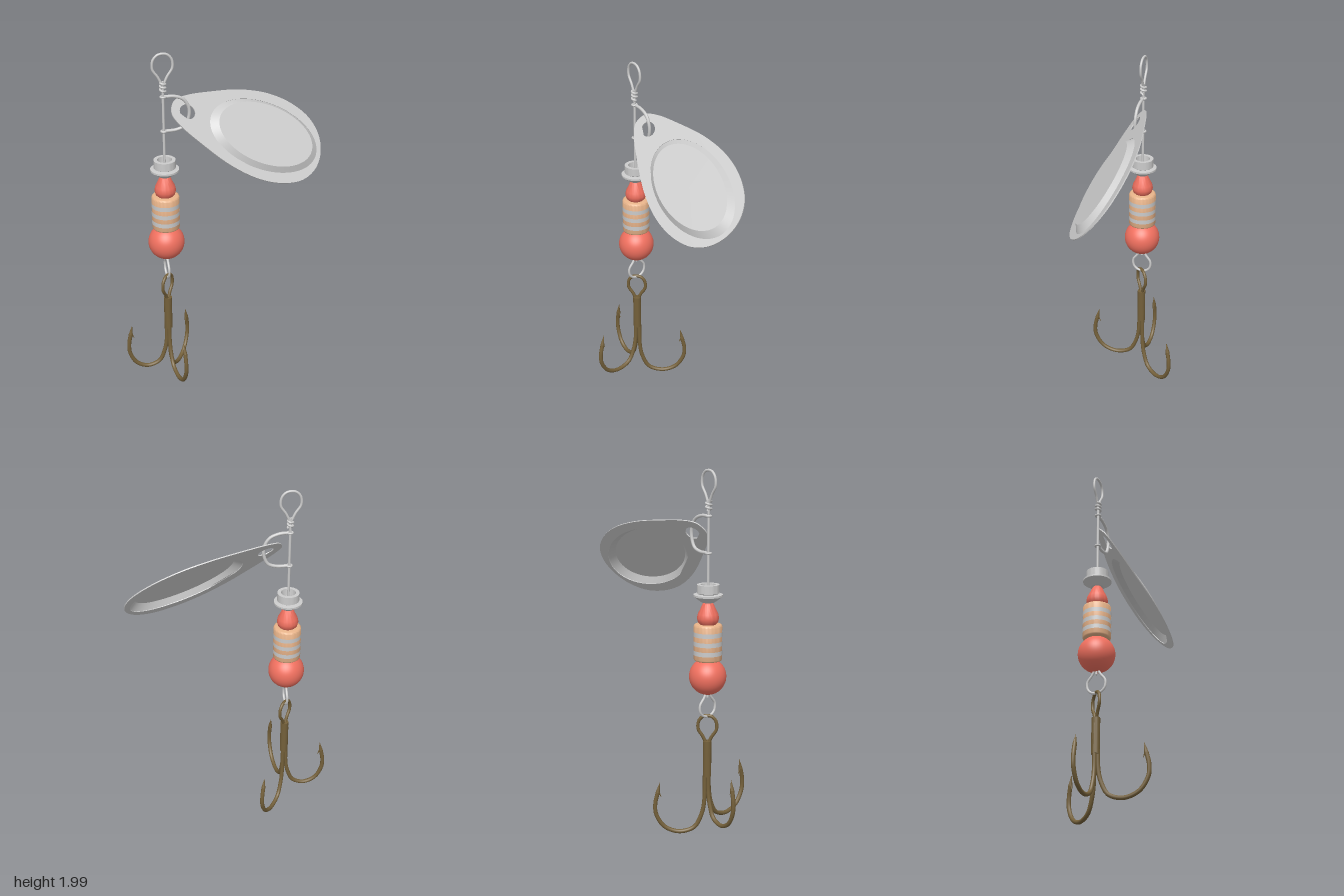
import * as THREE from 'three';
import { toCreasedNormals } from 'three/addons/utils/BufferGeometryUtils.js';

const material = (color) => new THREE.MeshStandardMaterial({ color, side: THREE.DoubleSide });
const V = (x, y, z = 0) => new THREE.Vector3(x, y, z);
const P = (x, y) => new THREE.Vector2(x, y);

export function createModel() {
  const model = new THREE.Group();
  const metal = material(0xcccccc), red = material(0xf0705f);
  const tan = material(0xe8b48a), bronze = material(0x74603a);

  // everything but the blade is laid out around the wire axis
  const rig = new THREE.Group();
  rig.name = 'rig';
  rig.position.set(-0.33, 0, -0.03);
  model.add(rig);

  function add(parent, name, geometry, mat) {
    const mesh = new THREE.Mesh(geometry, mat);
    mesh.name = name;
    parent.add(mesh);
    return mesh;
  }
  function lathe(name, profile, mat, crease = 0.5) {
    const geometry = new THREE.LatheGeometry(profile.map(([r, y]) => P(r, y)), 48);
    return add(rig, name, toCreasedNormals(geometry, crease), mat);
  }
  function wire(parent, name, points, radius, mat, segments = 64, closed = false) {
    const curve = new THREE.CatmullRomCurve3(points, closed, 'centripetal');
    add(parent, name, new THREE.TubeGeometry(curve, segments, radius, 10, closed), mat);
    return curve;
  }
  // teardrop in the local XY plane: closed end at neckY, round end at endY
  function teardrop(neckY, endY, half) {
    const h = endY - neckY;
    return [[0.1, 0], [0.45, 0.25], [0.95, 0.52], [0.9, 0.8], [0.5, 0.96], [0, 1],
      [-0.5, 0.96], [-0.9, 0.8], [-0.95, 0.52], [-0.45, 0.25], [-0.1, 0]]
      .map(([x, y]) => V(x * half, neckY + y * h));
  }

  // central wire, top eye and twisted wrap
  const shaft = add(rig, 'shaft', new THREE.CylinderGeometry(0.007, 0.007, 1.06, 12), metal);
  shaft.position.y = 1.31;
  wire(rig, 'topEye', teardrop(1.825, 1.992, 0.056), 0.007, metal);
  const wrap = [];
  for (let i = 0; i <= 36; i++) {
    const a = i / 36 * Math.PI * 5;
    wrap.push(V(Math.cos(a) * 0.014, 1.785 + 0.05 * i / 36, Math.sin(a) * 0.014));
  }
  wire(rig, 'wireWrap', wrap, 0.006, metal, 120);

  // bottom eye lies in the YZ plane
  const bottomEye = new THREE.Group();
  bottomEye.name = 'bottomEye';
  bottomEye.rotation.y = Math.PI / 2;
  rig.add(bottomEye);
  wire(bottomEye, 'bottomEyeWire', teardrop(0.815, 0.674, 0.054), 0.007, metal);

  // clevis: bow through the blade hole with a small ring at each end
  wire(rig, 'clevis', [V(0.01, 1.755), V(0.06, 1.752), V(0.11, 1.73), V(0.138, 1.68), V(0.138, 1.63),
    V(0.115, 1.58), V(0.07, 1.562), V(0.01, 1.56)], 0.009, metal);
  for (const y of [1.755, 1.56]) {
    const ring = add(rig, 'clevisRing', new THREE.TorusGeometry(0.013, 0.006, 10, 24), metal);
    ring.rotation.x = Math.PI / 2;
    ring.position.y = y;
  }

  // body: cup, beads and banded barrel
  lathe('cup', [[0.008, 1.3], [0.035, 1.3], [0.078, 1.332], [0.078, 1.342], [0.052, 1.345], [0.06, 1.35],
    [0.06, 1.395], [0.04, 1.395], [0.036, 1.355], [0.008, 1.355]], metal);
  lathe('smallBead', [[0.006, 1.17], [0.036, 1.175], [0.053, 1.192], [0.059, 1.215], [0.054, 1.238],
    [0.041, 1.264], [0.031, 1.288], [0.022, 1.302], [0.006, 1.306]], red, 1);
  lathe('barrel', [[0.006, 0.985], [0.066, 0.985], [0.073, 0.988], [0.076, 0.995], [0.076, 1.172],
    [0.073, 1.179], [0.066, 1.182], [0.006, 1.182]], tan, 0.9);
  for (const y of [1.03, 1.08, 1.13]) {
    const band = add(rig, 'barrelBand', new THREE.CylinderGeometry(0.0772, 0.0772, 0.024, 48, 1, true), metal);
    band.position.y = y;
  }
  add(rig, 'largeBead', new THREE.SphereGeometry(0.1, 48, 32), red).position.y = 0.897;

  // treble hook: eye, shank sleeve and three bends
  const treble = new THREE.Group();
  treble.name = 'trebleHook';
  rig.add(treble);
  const hookEye = new THREE.Group();
  hookEye.name = 'hookEye';
  hookEye.rotation.y = Math.PI / 4;
  treble.add(hookEye);
  wire(hookEye, 'hookEyeWire', teardrop(0.52, 0.678, 0.052), 0.009, bronze);
  add(treble, 'shank', new THREE.CylinderGeometry(0.023, 0.023, 0.2, 12), bronze).position.y = 0.435;

  // direction, reach and drop of each hook
  const hooks = [[-0.235, -0.012, 0.93, 0], [0.165, -0.225, 1.13, -0.07], [0.03, 0.285, 1.14, 0]];
  for (const [dx, dz, reach, drop] of hooks) {
    const hook = new THREE.Group();
    hook.name = 'hook';
    hook.rotation.y = Math.atan2(-dz, dx);
    treble.add(hook);
    const bend = [[0.014, 0.25], [0.028, 0.18], [0.062, 0.112], [0.135, 0.088], [0.205, 0.118],
      [0.246, 0.19], [0.25, 0.25], [0.238, 0.315]];
    const points = [V(0.012, 0.5), V(0.012, 0.36), ...bend.map(([r, y]) => V(r * reach, y + drop))];
    const curve = wire(hook, 'hookBend', points, 0.0115, bronze, 72);
    const direction = curve.getTangent(1);
    const point = add(hook, 'hookPoint', new THREE.ConeGeometry(0.0115, 0.06, 10), bronze);
    point.position.copy(curve.getPoint(1)).addScaledVector(direction, 0.03);
    point.quaternion.setFromUnitVectors(V(0, 1), direction);
    // barb points back down toward the shank
    const barb = add(hook, 'barb', new THREE.ConeGeometry(0.007, 0.04, 8), bronze);
    barb.position.copy(curve.getPoint(1)).add(V(-0.012, -0.012));
    barb.rotation.z = Math.PI - 0.45;
  }

  // blade: x along its length, y across, z out of the raised face; origin at the hole
  const along = V(0.918, -0.395, 0.043).normalize();
  const across = V(0.27, 0.69, -0.67);
  across.addScaledVector(along, -across.dot(along)).normalize();
  const blade = new THREE.Group();
  blade.name = 'blade';
  blade.quaternion.setFromRotationMatrix(
    new THREE.Matrix4().makeBasis(along, across, along.clone().cross(across)));
  blade.position.set(-0.2, 1.655, -0.03);
  model.add(blade);

  const half = [[-0.08, 0.045], [-0.02, 0.092], [0.1, 0.15], [0.28, 0.221], [0.45, 0.252],
    [0.6, 0.238], [0.72, 0.185], [0.79, 0.1]];
  const loop = [[-0.092, 0], ...half, [0.812, 0], ...half.map(([s, w]) => [s, -w]).reverse()];
  const outline = new THREE.CatmullRomCurve3(loop.map(([s, w]) => V(s, w)), true, 'centripetal');
  const plate = new THREE.Shape(outline.getPoints(120).slice(0, -1).map((p) => P(p.x, p.y)));
  plate.holes.push(new THREE.Path().absellipse(0, 0, 0.045, 0.04, 0, Math.PI * 2, true));
  plate.holes.push(new THREE.Path().absellipse(0.46, 0, 0.326, 0.197, 0, Math.PI * 2, true));
  const rim = new THREE.ExtrudeGeometry(plate, { depth: 0.006, bevelEnabled: false, curveSegments: 48 });
  rim.translate(0, 0, -0.003);
  add(blade, 'bladeRim', toCreasedNormals(rim, 0.5), metal);

  // raised oval centre with a sloping wall
  const dome = new THREE.LatheGeometry([P(1, 0), P(0.869, 0.03), P(0.0001, 0.03)], 72);
  dome.rotateX(Math.PI / 2).scale(0.327, 0.198, 1).translate(0.46, 0, 0);
  add(blade, 'bladeCentre', toCreasedNormals(dome, 0.4), metal);

  return model;
}
